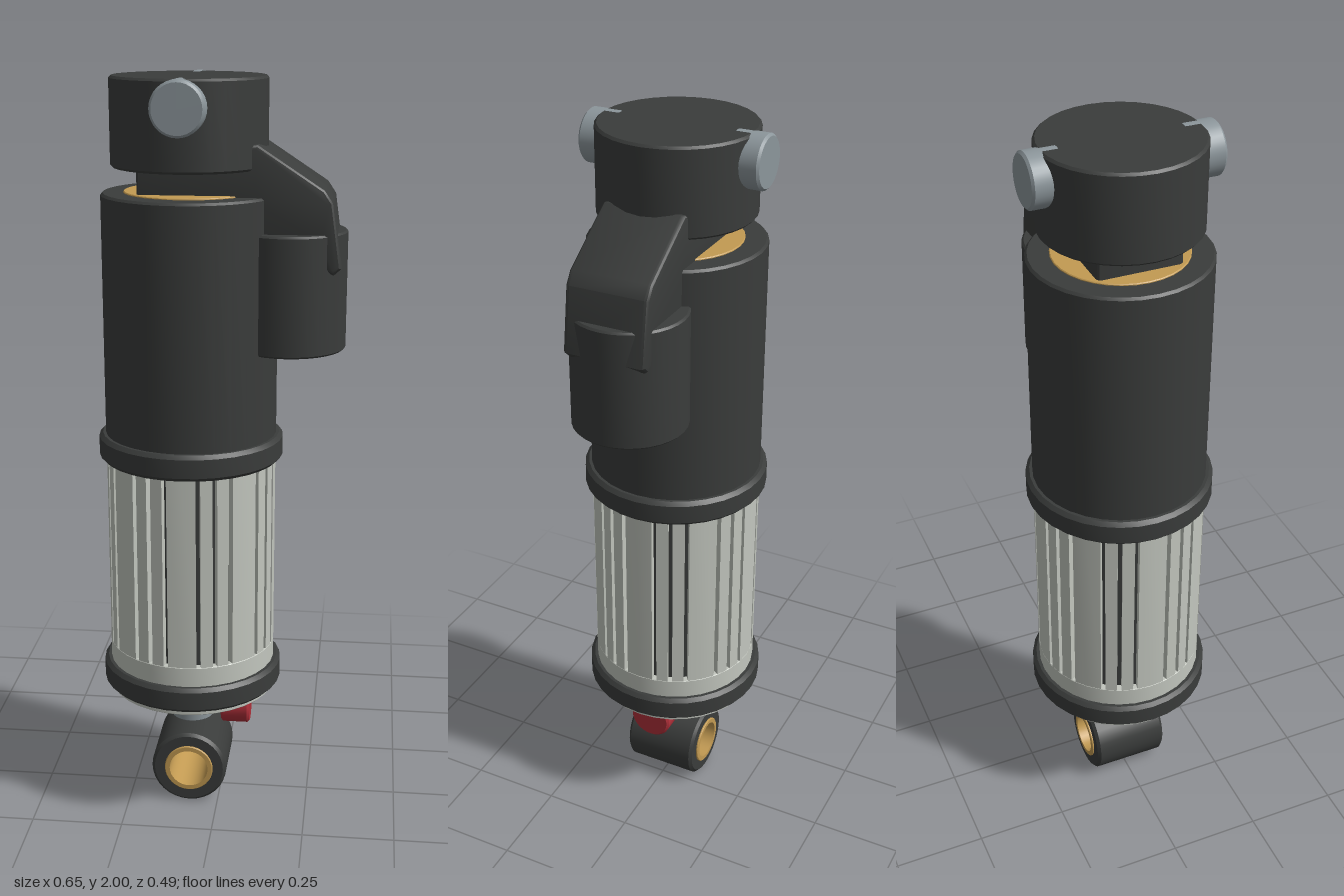
import * as THREE from 'three';
import { toCreasedNormals } from 'three/addons/utils/BufferGeometryUtils.js';

const AXIS = -0.08; // x of the main cylinder axis
const material = (color) => new THREE.MeshStandardMaterial({ color });

export function createModel() {
  const model = new THREE.Group();
  const dark = material(0x3a3c3b);
  const alloy = material(0xc2c6be);
  const steel = material(0x8c969b);
  const gold = material(0xc29a52);
  const red = material(0xb0303a);

  const add = (name, geometry, mat, x = AXIS, y = 0, z = 0) => {
    const mesh = new THREE.Mesh(toCreasedNormals(geometry, 0.5), mat);
    mesh.name = name;
    mesh.position.set(x, y, z);
    model.add(mesh);
    return mesh;
  };

  // Solid turned cylinder from y0 to y1 with chamfered rims
  const turned = (r, y0, y1, c = 0.006, segments = 32) =>
    new THREE.LatheGeometry([
      [0, y0], [r - c, y0], [r, y0 + c], [r, y1 - c], [r - c, y1], [0, y1],
    ].map(([x, y]) => new THREE.Vector2(x, y)), segments);

  // Hollow tube centred on y = 0 with chamfered rims
  const bush = (inner, outer, half, c) =>
    new THREE.LatheGeometry([
      [inner, -half], [outer - c, -half], [outer, -half + c], [outer, half - c],
      [outer - c, half], [inner, half], [inner, -half],
    ].map(([x, y]) => new THREE.Vector2(x, y)), 32);

  // Head with a steel pivot pin on each side
  add('head', turned(0.202, 1.775, 2), dark);
  for (const side of [1, -1]) {
    const pin = turned(0.068, 0.15, 0.24, 0.006).rotateX(side * Math.PI / 2);
    add('pivotPin', pin, steel, AXIS, 1.933);
  }

  // Main body and its inner seal
  add('body', turned(0.229, 1.04, 1.71), dark);
  add('seal', turned(0.17, 1.69, 1.714, 0.002), gold);

  // Collars above and below the slotted sleeve
  add('upperCollar', turned(0.247, 1.005, 1.075, 0.01), dark);
  add('lowerCollar', turned(0.247, 0.35, 0.42, 0.01), dark);

  // Slotted sleeve: groups of three slots around a dark core
  const outer = 0.228, inner = 0.205, half = 0.027;
  const outline = [];
  const point = (r, a) => outline.push(new THREE.Vector2(r * Math.cos(a), r * Math.sin(a)));
  for (let i = 0; i < 32; i++) {
    const a = (i * Math.PI) / 16;
    if (i % 4 === 0) {
      point(outer, a);
    } else {
      point(outer, a - half);
      point(inner, a - half);
      point(inner, a + half);
      point(outer, a + half);
    }
  }
  const sleeve = new THREE.ExtrudeGeometry(new THREE.Shape(outline), { depth: 0.54, bevelEnabled: false });
  add('slottedSleeve', sleeve.rotateX(-Math.PI / 2), alloy, AXIS, 0.475);
  add('sleeveCore', turned(0.208, 0.47, 1.01, 0.001, 64), dark);
  add('sleeveBase', turned(0.228, 0.335, 0.475, 0.002), alloy);

  // Side reservoir
  add('reservoir', turned(0.148, 1.31, 1.62, 0.005), dark, 0.18);

  // Sloping bridge from the head to the reservoir, gripping it at its outer corners
  const b = 0.012;
  const profile = new THREE.Shape([
    [-0.19, 1.7], [-0.19, 1.81], [0.1, 1.828], [0.262, 1.722], [0.28, 1.695],
    [0.302, 1.54], [0.293, 1.532], [0.283, 1.537], [0.262, 1.6], [0.1, 1.6], [0.1, 1.7],
  ].map(([x, y]) => new THREE.Vector2(x, y)));
  const bridge = new THREE.ExtrudeGeometry(profile, {
    depth: 0.22 - 2 * b, bevelThickness: b, bevelSize: b, bevelSegments: 3,
  });
  add('bridge', bridge, dark, 0, 0, -0.11 + b);

  // Rod and adjuster knob below the sleeve
  add('rod', turned(0.06, 0.228, 0.34, 0.002), steel);
  add('adjusterKnob', turned(0.06, -0.04, 0.04, 0.006).rotateZ(Math.PI / 2), red, 0.045, 0.27);

  // Lower mounting eye with its bush
  add('lowerEye', bush(0.066, 0.105, 0.105, 0.008).rotateX(Math.PI / 2), dark, AXIS, 0.105);
  add('eyeBush', bush(0.054, 0.068, 0.11, 0.002).rotateX(Math.PI / 2), gold, AXIS, 0.105);

  return model;
}
